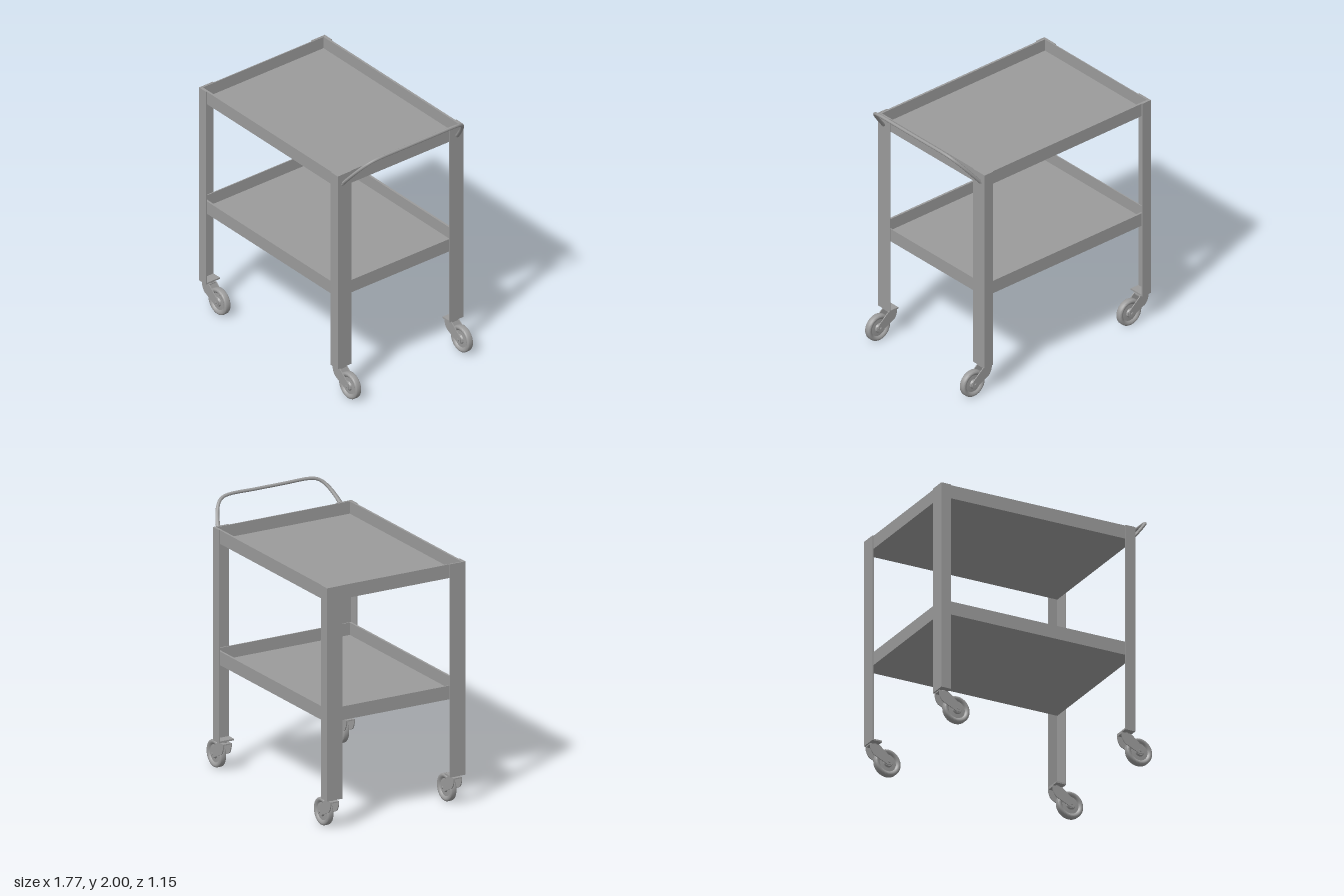
import * as THREE from 'three';
import { toCreasedNormals } from 'three/addons/utils/BufferGeometryUtils.js';

const steel = new THREE.MeshStandardMaterial({ color: 0x9b9b9b });

function add(parent, name, geometry, x = 0, y = 0, z = 0) {
  const mesh = new THREE.Mesh(geometry, steel);
  mesh.name = name;
  mesh.position.set(x, y, z);
  parent.add(mesh);
  return mesh;
}

const box = (w, h, d) => new THREE.BoxGeometry(w, h, d);
const CX = -0.098;            // middle of the frame, handle excluded
const HX = 0.788, HZ = 0.576; // half size over the legs
const LEG_BOTTOM = 0.229, LEG_TOP = 1.837;

// Shallow tray: thin floor and four upright walls
function makeTray(name, y) {
  const tray = new THREE.Group();
  tray.name = name;
  const w = 2 * (HX - 0.008), d = 2 * (HZ - 0.008), h = 0.103;
  add(tray, 'trayFloor', box(w, 0.01, d), 0, 0.005, 0);
  for (const s of [-1, 1]) {
    add(tray, 'trayLongWall', box(w, h, 0.016), 0, h / 2, s * (d / 2 - 0.008));
    add(tray, 'trayEndWall', box(0.008, h, d - 0.032), s * (w / 2 - 0.004), h / 2, 0);
  }
  tray.position.set(CX, y, 0);
  return tray;
}

// Angle-section leg with a foot plate; sx and sz point to the outer corner
function makeLeg(sx, sz) {
  const leg = new THREE.Group();
  leg.name = 'leg';
  const a = 0.08, b = 0.127, t = 0.008;
  const outline = [[0, 0], [a, 0], [a, t], [t, t], [t, b], [0, b]]
    .map(([x, z]) => new THREE.Vector2(-sx * x, sz * z));
  const angle = new THREE.ExtrudeGeometry(new THREE.Shape(outline),
    { depth: LEG_TOP - LEG_BOTTOM, bevelEnabled: false });
  angle.rotateX(-Math.PI / 2);
  add(leg, 'legAngle', angle, 0, LEG_BOTTOM, 0);
  add(leg, 'footPlate', box(a - t, 0.012, b - t),
    -sx * (a + t) / 2, LEG_BOTTOM + 0.006, -sz * (b + t) / 2);
  leg.position.set(CX + sx * HX, 0, sz * HZ);
  return leg;
}

// Wheel profile: hub, recessed web, rim and flat-tread tyre
function wheelGeometry() {
  const half = [[0.012, 0.026], [0.03, 0.026], [0.037, 0.014], [0.066, 0.012],
    [0.074, 0.02], [0.084, 0.026], [0.094, 0.025], [0.1, 0.021], [0.103, 0.015]];
  const pts = [...half.map(([r, y]) => [r, -y]), ...half.reverse()]
    .map(([r, y]) => new THREE.Vector2(r, y));
  const g = toCreasedNormals(new THREE.LatheGeometry(pts, 40), 0.65);
  return g.rotateX(Math.PI / 2);
}

// Fork cheek, drawn around the axle
function cheekGeometry() {
  const s = new THREE.Shape();
  s.moveTo(-0.154, 0.112);
  s.lineTo(-0.154, 0.085);
  s.quadraticCurveTo(-0.143, 0.04, -0.122, 0.028);
  s.lineTo(-0.012, -0.024);
  s.quadraticCurveTo(0.024, -0.028, 0.026, 0);
  s.quadraticCurveTo(0.026, 0.026, 0.006, 0.042);
  s.lineTo(-0.068, 0.104);
  s.lineTo(-0.078, 0.112);
  const g = new THREE.ExtrudeGeometry(s, { depth: 0.007, bevelEnabled: false, curveSegments: 8 });
  return toCreasedNormals(g, 0.6);
}

// Trailing swivel caster, origin at the stem on the floor
function makeCaster(wheel, cheek) {
  const caster = new THREE.Group();
  caster.name = 'caster';
  const ax = 0.104, ay = 0.104;
  add(caster, 'wheel', wheel, ax, ay, 0);
  for (const s of [-1, 1]) {
    add(caster, 'forkCheek', cheek, ax, ay, s * 0.0325 - 0.0035);
    const nut = new THREE.CylinderGeometry(0.011, 0.011, 0.008, 6).rotateX(Math.PI / 2);
    add(caster, 'axleNut', nut, ax, ay, s * 0.039);
  }
  add(caster, 'forkCrown', box(0.076, 0.009, 0.07), -0.012, 0.2125, 0);
  add(caster, 'axle', new THREE.CylinderGeometry(0.0125, 0.0125, 0.07, 16).rotateX(Math.PI / 2), ax, ay, 0);
  add(caster, 'stem', new THREE.CylinderGeometry(0.022, 0.022, 0.024, 20), 0, 0.222, 0);
  return caster;
}

// Sloping push handle, its bar flattened wider toward the ends
function handleGeometry() {
  const half = [[0, 0.523], [0.2, 0.512], [0.45, 0.492], [0.68, 0.465],
    [0.85, 0.433], [0.95, 0.395], [1, 0.33], [1, 0.12]];
  const at = (t, z) => new THREE.Vector3(0.684 + 0.189 * t, 1.757 + 0.231 * t, z);
  const pts = [...half.map(([t, z]) => at(t, z)),
    ...half.slice().reverse().map(([t, z]) => at(t, -z))];
  const curve = new THREE.CatmullRomCurve3(pts, false, 'centripetal');
  const seg = 96, sides = 12;
  const g = new THREE.TubeGeometry(curve, seg, 0.0122, sides, false);
  const pos = g.attributes.position;
  for (let i = 0; i <= seg; i++) {
    const c = curve.getPointAt(i / seg);
    const k = 1 + 0.6 * Math.max(0, Math.abs(2 * i / seg - 1) - 0.55) / 0.45;
    for (let j = 0; j <= sides; j++) {
      const n = i * (sides + 1) + j;
      pos.setZ(n, c.z + (pos.getZ(n) - c.z) * k);
    }
  }
  g.computeVertexNormals();
  return g;
}

export function createModel() {
  const cart = new THREE.Group();
  cart.name = 'trolley';
  cart.add(makeTray('upperTray', 1.732), makeTray('lowerTray', 0.818));
  const wheel = wheelGeometry(), cheek = cheekGeometry();
  for (const sx of [-1, 1]) {
    for (const sz of [-1, 1]) {
      cart.add(makeLeg(sx, sz));
      const caster = makeCaster(wheel, cheek);
      caster.position.set(CX + sx * 0.742 + 0.003, 0, sz * 0.512);
      cart.add(caster);
    }
  }
  add(cart, 'pushHandle', handleGeometry());
  // Rounded caps that close the handle ends on the legs
  for (const s of [-1, 1]) {
    const cap = add(cart, 'handleEnd', new THREE.SphereGeometry(0.0122, 16, 10), 0.686, 1.757, s * 0.523);
    cap.scale.z = 1.6;
  }
  return cart;
}
